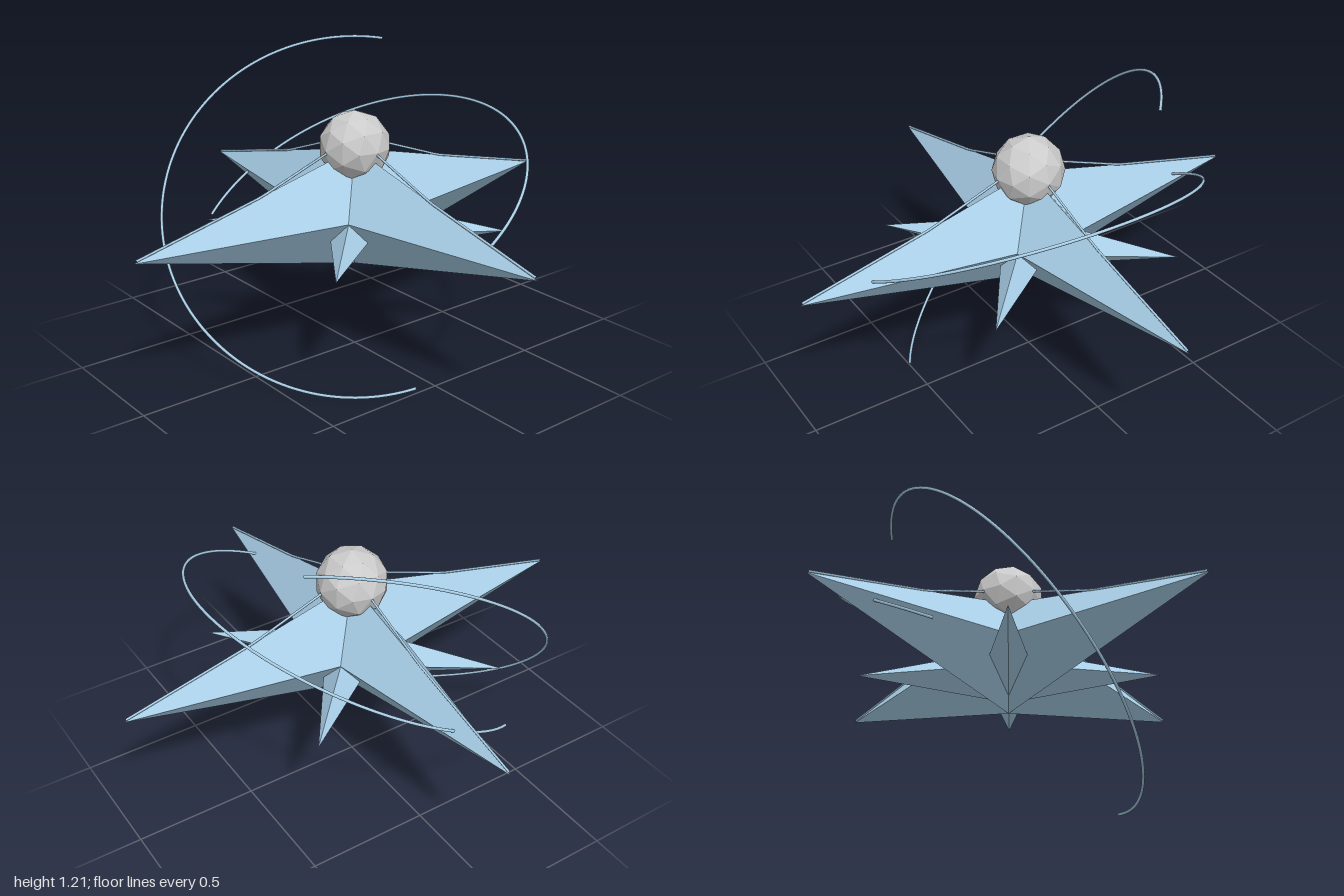
import * as THREE from 'three';

const CENTER_Y = 0.6;
const blue = new THREE.MeshStandardMaterial({ color: 0xa9cfe8, flatShading: true });
const blueSmooth = new THREE.MeshStandardMaterial({ color: 0xa9cfe8 });
const grey = new THREE.MeshStandardMaterial({ color: 0xcccccc, flatShading: true });

// Four-pointed faceted star: a rim of tips and valleys joined to an upper and a lower apex
function starGeometry(tip, valley, height) {
  const rim = i => {
    const a = (i * Math.PI) / 4;
    const r = i % 2 ? valley : tip;
    return [r * Math.cos(a), 0, r * Math.sin(a)];
  };
  const corners = [];
  for (let i = 0; i < 8; i++) {
    const a = rim(i), b = rim((i + 1) % 8);
    corners.push(...b, ...a, 0, height, 0);
    corners.push(...a, ...b, 0, -height, 0);
  }
  const geometry = new THREE.BufferGeometry();
  geometry.setAttribute('position', new THREE.Float32BufferAttribute(corners, 3));
  geometry.computeVertexNormals();
  return geometry;
}

// Open ring arc that starts in direction `start` and turns about `axis`
function orbitArc(radius, start, axis) {
  const n = axis.clone().normalize();
  const u = start.clone().addScaledVector(n, -start.dot(n)).normalize();
  const v = n.clone().cross(u);
  const geometry = new THREE.TorusGeometry(radius, 0.006, 8, 96, 3.6);
  geometry.applyMatrix4(new THREE.Matrix4().makeBasis(u, v, n));
  return geometry;
}

export function createModel() {
  const model = new THREE.Group();
  const add = (name, geometry, material, y) => {
    const mesh = new THREE.Mesh(geometry, material);
    mesh.name = name;
    mesh.position.y = y;
    model.add(mesh);
    return mesh;
  };

  // Large star and the smaller one turned between its points
  add('mainStar', starGeometry(1, 0.219, 0.245), blue, CENTER_Y);
  add('smallStar', starGeometry(0.61, 0.13, 0.12), blue, 0.52).rotation.y = Math.PI / 4;

  // Faceted ball on top
  add('ball', new THREE.IcosahedronGeometry(0.145, 1), grey, 0.855);

  // Thin wires from the ball along each ridge to the tips
  const wirePath = new THREE.CurvePath();
  const points = [[0.1, 0.862], [0.45, 0.735], [0.99, 0.608]].map(
    ([x, y]) => new THREE.Vector3(x, y, 0));
  wirePath.add(new THREE.LineCurve3(points[0], points[1]));
  wirePath.add(new THREE.LineCurve3(points[1], points[2]));
  const wireGeometry = new THREE.TubeGeometry(wirePath, 24, 0.005, 6);
  for (let i = 0; i < 4; i++) {
    add('ridgeWire' + (i + 1), wireGeometry, blueSmooth, 0).rotation.y = (i * Math.PI) / 2;
  }

  // Two tilted orbit arcs
  add('innerOrbit', orbitArc(0.72, new THREE.Vector3(1, 0, 0),
    new THREE.Vector3(0, Math.cos(0.5), Math.sin(0.5))), blueSmooth, CENTER_Y);
  add('outerOrbit', orbitArc(0.777, new THREE.Vector3(-0.31, 0.59, -0.4),
    new THREE.Vector3(0.6, 0.64, 0.48)), blueSmooth, CENTER_Y);

  return model;
}
